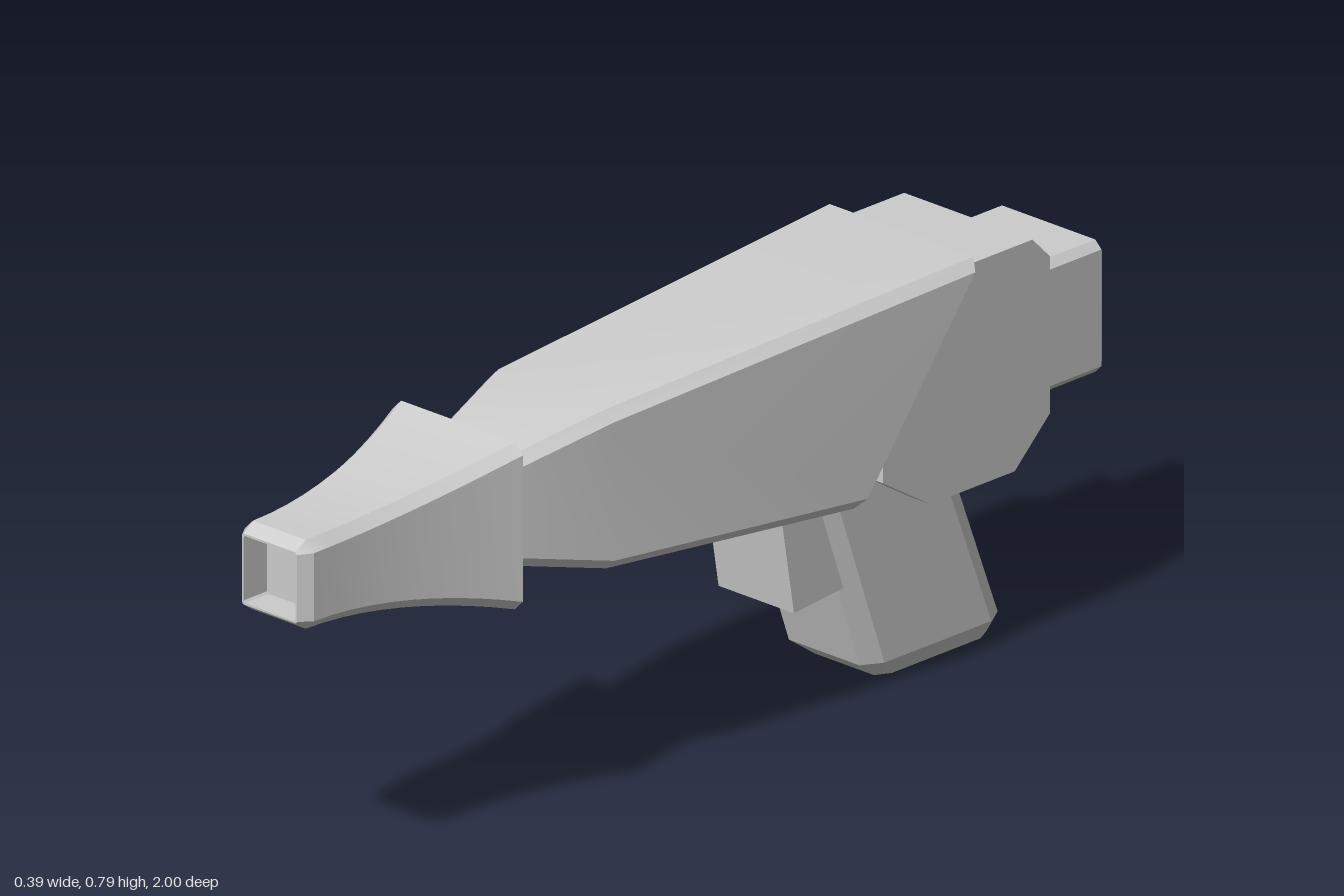
import * as THREE from 'three';
import { toCreasedNormals } from 'three/addons/utils/BufferGeometryUtils.js';

const material = new THREE.MeshStandardMaterial({ color: 0xcccccc });

// Rectangle with cut corners: half width h, v from v0 to v1, cut cu by cv
function octagon(h, v0, v1, cu, cv = cu) {
  return [
    [-h + cu, v0], [h - cu, v0], [h, v0 + cv], [h, v1 - cv],
    [h - cu, v1], [-h + cu, v1], [-h, v1 - cv], [-h, v0 + cv],
  ];
}

// Section across z; its bottom and top may sit at different z (slanted cut)
function section(zBottom, zTop, h, y0, y1, c = 0.02) {
  return octagon(h, y0, y1, c).map(([x, y]) =>
    [x, y, THREE.MathUtils.lerp(zBottom, zTop, (y - y0) / (y1 - y0))]);
}

// Horizontal section, from front z to back z
function floorSection(y, h, zFront, zBack, cu, cv) {
  return octagon(h, -zFront, -zBack, cu, cv).map(([x, v]) => [x, y, -v]);
}

// Skin a list of sections and close both ends
function loft(name, rings) {
  const n = rings[0].length;
  const index = [];
  for (let r = 0; r < rings.length - 1; r++) {
    for (let i = 0; i < n; i++) {
      const a = r * n + i, b = r * n + (i + 1) % n;
      index.push(a, b, b + n, a, b + n, a + n);
    }
  }
  const last = (rings.length - 1) * n;
  for (let i = 1; i < n - 1; i++) {
    index.push(0, i + 1, i, last, last + i, last + i + 1);
  }
  const geometry = new THREE.BufferGeometry();
  geometry.setAttribute('position', new THREE.Float32BufferAttribute(rings.flat(2), 3));
  geometry.setIndex(index);
  return makeMesh(name, toCreasedNormals(geometry, 0.5));
}

// Side outline of [z, y] points, extruded across x
function slab(name, outline, h) {
  const shape = new THREE.Shape(outline.map(([z, y]) => new THREE.Vector2(z, y)));
  const geometry = new THREE.ExtrudeGeometry(shape, { depth: 2 * h, bevelEnabled: false });
  geometry.translate(0, 0, -h).rotateY(-Math.PI / 2);
  return makeMesh(name, geometry);
}

function makeMesh(name, geometry) {
  const mesh = new THREE.Mesh(geometry, material);
  mesh.name = name;
  return mesh;
}

export function createModel() {
  const group = new THREE.Group();
  group.name = 'blaster';
  const mid = 0.594;

  // Tapered body with a slanted, bevelled rear
  group.add(loft('body', [
    section(-0.335, -0.632, 0.175, 0.402, 0.773),
    section(-0.305, -0.61, 0.197, 0.395, 0.788),
    section(0.28, 0.28, 0.153, 0.44, 0.745),
    section(0.48, 0.48, 0.104, 0.49, 0.698),
  ]));

  // Nozzle: collar, concave taper, bevelled lip and recessed mouth
  const nozzle = [section(0.47, 0.47, 0.105, mid - 0.105, mid + 0.105)];
  const steps = 10;
  for (let i = 0; i <= steps; i++) {
    const t = i / steps;
    const h = 0.085 + 0.075 * Math.pow(1 - t, 1.9);
    const z = 0.52 + 0.455 * t;
    nozzle.push(section(z, z, h, mid - h, mid + h));
  }
  for (const [z, h] of [[1, 0.068], [1, 0.064], [0.94, 0.064]]) {
    nozzle.push(section(z, z, h, mid - h, mid + h, 0.004));
  }
  group.add(loft('nozzle', nozzle));

  // Rear housing
  group.add(slab('rearHousing', [
    [-0.52, 0.335], [-0.4, 0.41], [-0.4, 0.52], [-0.59, 0.765],
    [-0.78, 0.765], [-0.825, 0.72], [-0.825, 0.42], [-0.735, 0.335],
  ], 0.158));

  // Bevelled block on the back
  const block = [[-1, 0.013], [-0.985, 0], [-0.84, 0], [-0.82, 0.015]];
  group.add(loft('rearBlock', block.map(([z, inset]) =>
    section(z, z, 0.13 - inset, 0.44 + inset, 0.693 - inset, 0.015))));

  // Raked grip with a bevelled foot
  group.add(loft('grip', [
    floorSection(0, 0.088, -0.465, -0.75, 0.015, 0.03),
    floorSection(0.038, 0.11, -0.413, -0.765, 0.023, 0.04),
    floorSection(0.43, 0.11, -0.275, -0.615, 0.023, 0.04),
  ]));

  // Trigger block in front of the grip
  group.add(slab('trigger', [
    [-0.2, 0.43], [-0.24, 0.19], [-0.4, 0.205], [-0.36, 0.43],
  ], 0.093));

  return group;
}
